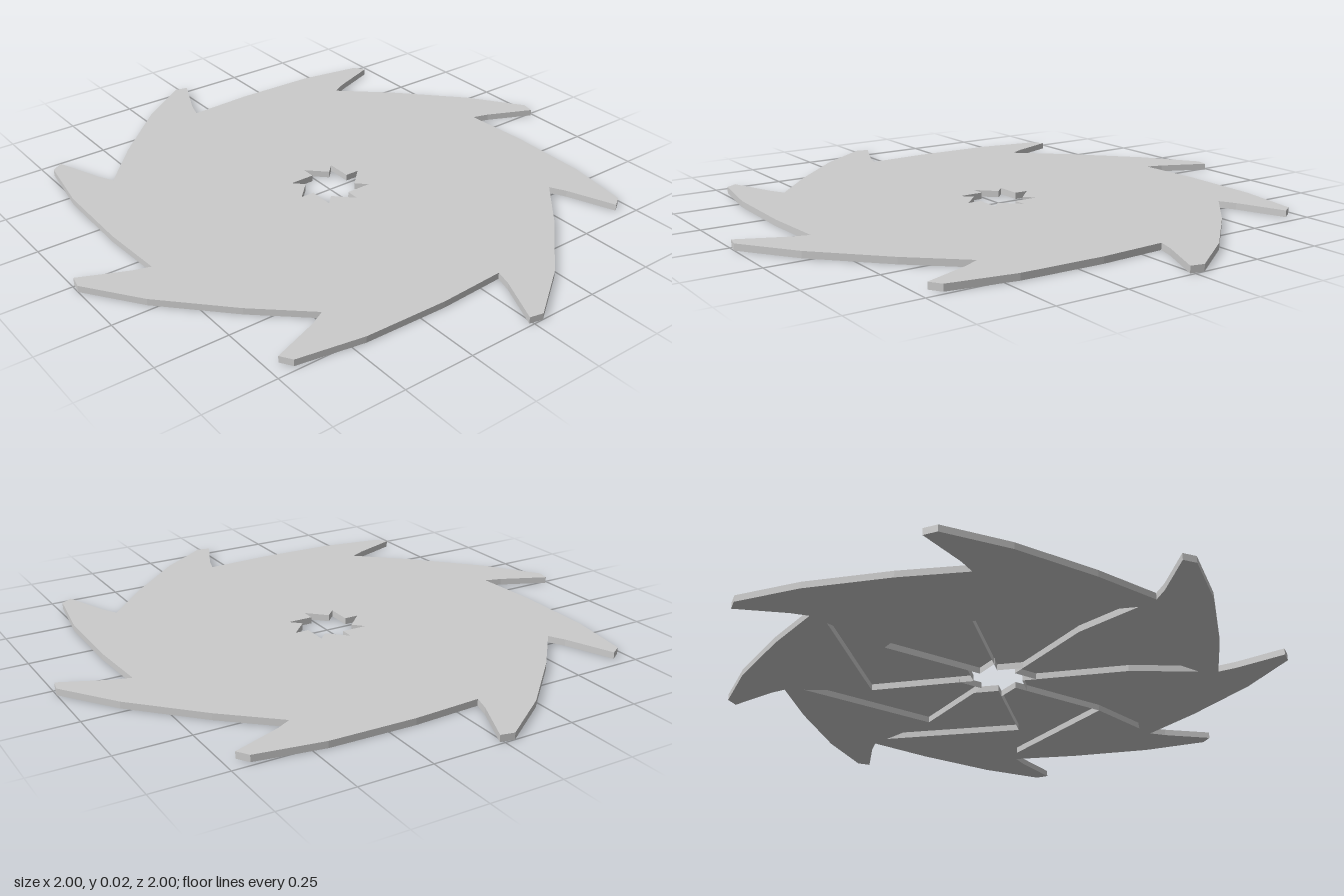
import * as THREE from 'three';

const HEIGHT = 0.023;
const COUNT = 8;
const STEP = (Math.PI * 2) / COUNT;

// Plan points are [x, z]; turn one by a whole blade step back.
const previous = ([x, z]) => [
  x * Math.cos(STEP) + z * Math.sin(STEP),
  -x * Math.sin(STEP) + z * Math.cos(STEP),
];

const toShape = (points) => new THREE.Shape(points.map(([x, z]) => new THREE.Vector2(x, -z)));

// Upright sheet between two plan points
function wallGeometry(p, q) {
  const dx = q[0] - p[0], dz = q[1] - p[1];
  const geo = new THREE.PlaneGeometry(Math.hypot(dx, dz), HEIGHT);
  geo.rotateY(-Math.atan2(dz, dx));
  geo.translate((p[0] + q[0]) / 2, HEIGHT / 2, (p[1] + q[1]) / 2);
  return geo;
}

export function createModel() {
  const model = new THREE.Group();
  model.name = 'sawBlade';
  const solid = new THREE.MeshStandardMaterial({ color: 0xcccccc, flatShading: true });
  const sheet = new THREE.MeshStandardMaterial({ color: 0xcccccc, flatShading: true, side: THREE.DoubleSide });

  // Key points of one blade segment
  const holeInner = [-0.015, -0.085];
  const holeTip = [-0.015, -0.135];
  const kink = [-0.012, -0.46];
  const notch = [-0.08, -0.765];
  const meet = [
    kink[0] + (notch[0] - kink[0]) * 0.78,
    kink[1] + (notch[1] - kink[1]) * 0.78,
  ];

  // Full-thickness outer tooth
  const tooth = new THREE.ExtrudeGeometry(toShape([
    kink, notch, [-0.062, -0.825], [0.012, -0.99], [-0.035, -1.0],
    [-0.225, -0.865], [-0.44, -0.66],
    previous(notch), previous(meet),
  ]), { depth: HEIGHT, bevelEnabled: false });
  tooth.rotateX(-Math.PI / 2);

  // Thin inner web, hollow underneath
  const web = new THREE.ShapeGeometry(toShape([
    kink, previous(meet), previous(kink), previous(holeTip), holeInner,
  ]));
  web.rotateX(-Math.PI / 2);
  web.translate(0, HEIGHT, 0);

  // Radial rib and star-hole edge
  const rib = wallGeometry(holeInner, kink);
  const holeEdge = wallGeometry(holeInner, previous(holeTip));

  const parts = [
    ['tooth', tooth, solid],
    ['web', web, sheet],
    ['rib', rib, sheet],
    ['holeEdge', holeEdge, sheet],
  ];

  for (let i = 0; i < COUNT; i++) {
    const segment = new THREE.Group();
    segment.name = `bladeSegment${i + 1}`;
    for (const [name, geometry, material] of parts) {
      const mesh = new THREE.Mesh(geometry, material);
      mesh.name = name;
      segment.add(mesh);
    }
    segment.rotation.y = i * STEP;
    model.add(segment);
  }
  return model;
}
